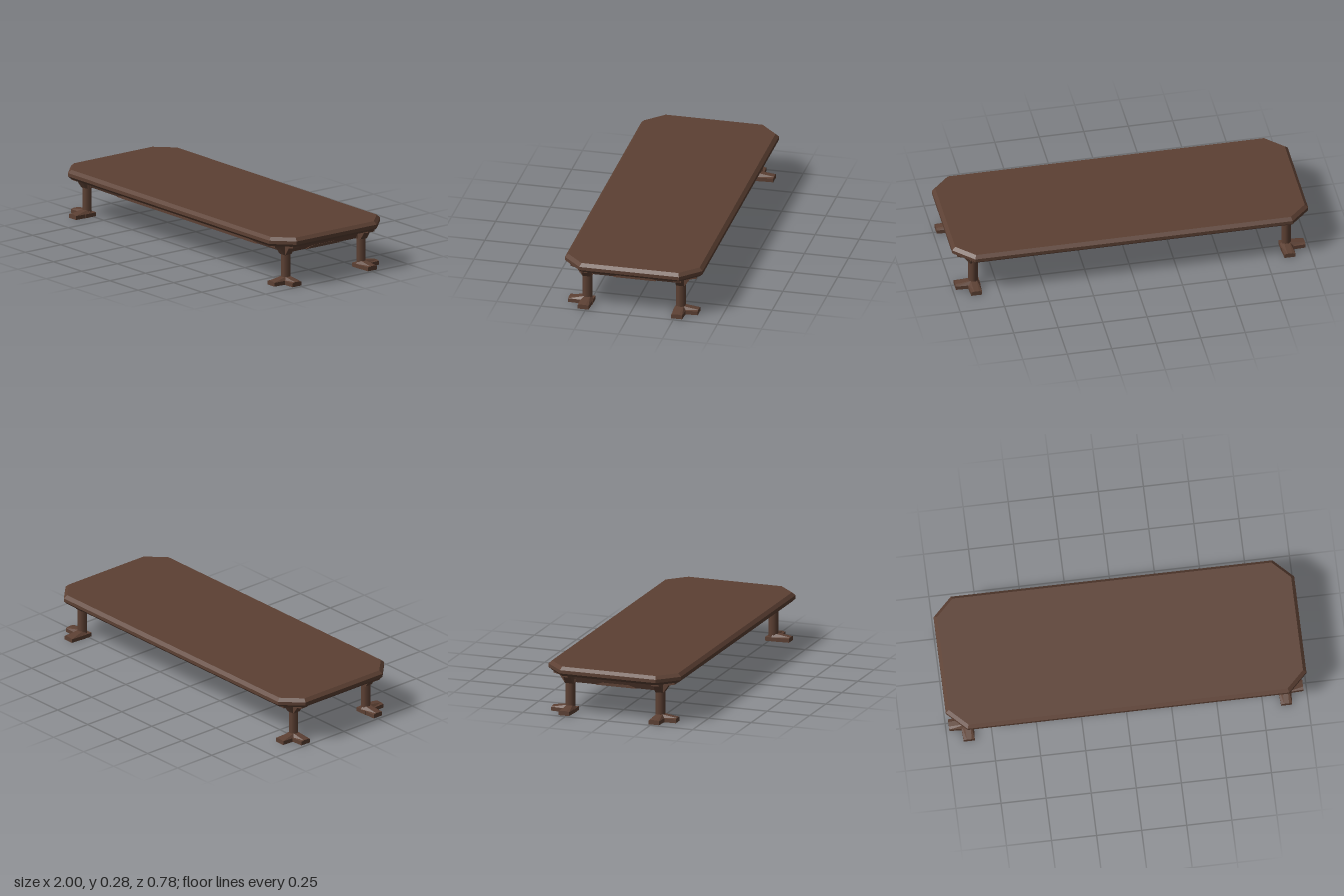
import * as THREE from 'three';

const wood = new THREE.MeshStandardMaterial({ color: 0x5c4033 });
wood.name = 'dark brown wood';

const POST_X = 0.88, POST_Z = 0.265, APRON_BOTTOM = 0.165, TOP_BOTTOM = 0.227;

function part(name, geometry) {
  const mesh = new THREE.Mesh(geometry, wood);
  mesh.name = name;
  return mesh;
}

function extrude(points, depth, options = {}) {
  const shape = new THREE.Shape(points.map(([x, y]) => new THREE.Vector2(x, y)));
  return new THREE.ExtrudeGeometry(shape, { depth, bevelEnabled: false, ...options });
}

// Profile given as (outward, up), swept sideways and centred; outward becomes +z
function sweep(points, width) {
  return extrude(points, width).translate(0, 0, -width / 2).rotateY(-Math.PI / 2);
}

// Slab with clipped corners and a bevelled rim
function tableTop() {
  const x = 1, z = 0.39, c = 0.108;
  const outline = [
    [x - c, -z], [x, -z + c], [x, z - c], [x - c, z],
    [-x + c, z], [-x, z - c], [-x, -z + c], [-x + c, -z],
  ];
  const geometry = extrude(outline, 0.019, {
    bevelEnabled: true, bevelThickness: 0.017, bevelSize: 0.018, bevelOffset: -0.018, bevelSegments: 1,
  });
  return part('tableTop', geometry.rotateX(-Math.PI / 2).translate(0, TOP_BOTTOM + 0.017, 0));
}

// Rail leaning outward towards the top, with a shallow raised panel at its foot
function apron(length, offset, panelBottom, panelTop, angle) {
  const group = new THREE.Group();
  group.name = 'apron';
  const profile = [[-0.03, APRON_BOTTOM], [-0.01, APRON_BOTTOM], [0.022, TOP_BOTTOM + 0.002], [-0.03, TOP_BOTTOM + 0.002]];
  const rail = part('apronRail', sweep(profile, length));
  const panel = part('apronPanel', extrude([
    [-panelBottom, APRON_BOTTOM], [panelBottom, APRON_BOTTOM],
    [panelTop, APRON_BOTTOM + 0.015], [-panelTop, APRON_BOTTOM + 0.015],
  ], 0.009).translate(0, 0, -0.009));
  rail.position.z = panel.position.z = offset;
  group.add(rail, panel);
  group.rotation.y = angle;
  return group;
}

// Toe with bevelled shoulders, sloping down to its tip
function toeGeometry() {
  const length = 0.102;
  const geometry = extrude([
    [-0.036, 0], [0.036, 0], [0.036, 0.022], [0.016, 0.042], [-0.016, 0.042], [-0.036, 0.022],
  ], length);
  const p = geometry.attributes.position;
  for (let i = 0; i < p.count; i++) {
    const t = p.getZ(i) / length;
    if (p.getY(i) > 0.03) p.setY(i, 0.042 - 0.016 * t);
    p.setX(i, p.getX(i) * (1 - 0.15 * t));
  }
  geometry.computeVertexNormals();
  return geometry;
}

// Eight-sided post with a toe and a bracket along each outward direction
function leg(sx, sz) {
  const group = new THREE.Group();
  group.name = 'leg';
  const radius = 0.025 / Math.cos(Math.PI / 8);
  const post = new THREE.CylinderGeometry(radius, radius, TOP_BOTTOM, 8);
  group.add(part('post', post.rotateY(Math.PI / 8).translate(0, TOP_BOTTOM / 2, 0)));

  const bracket = [
    [0, APRON_BOTTOM - 0.01], [0.025, APRON_BOTTOM], [0.055, 0.209],
    [0.092, 0.217], [0.092, TOP_BOTTOM + 0.001], [0, TOP_BOTTOM + 0.001],
  ];
  for (const angle of [sx * Math.PI / 2, sz > 0 ? 0 : Math.PI]) {
    const toe = part('toe', toeGeometry());
    const brace = part('bracket', sweep(bracket, 0.044));
    toe.rotation.y = brace.rotation.y = angle;
    group.add(toe, brace);
  }
  // Block joining the two toes under the post
  group.add(part('footBlock', new THREE.BoxGeometry(0.072, 0.022, 0.072).translate(0, 0.011, 0)));
  group.position.set(sx * POST_X, 0, sz * POST_Z);
  return group;
}

export function createModel() {
  const model = new THREE.Group();
  model.name = 'lowTable';
  model.add(tableTop());
  for (const side of [0, 1]) {
    model.add(apron(2 * POST_X, POST_Z, 0.62, 0.55, side * Math.PI));
    model.add(apron(2 * POST_Z, POST_X, 0.12, 0.08, Math.PI / 2 + side * Math.PI));
  }
  for (const sx of [-1, 1]) for (const sz of [-1, 1]) model.add(leg(sx, sz));
  return model;
}
